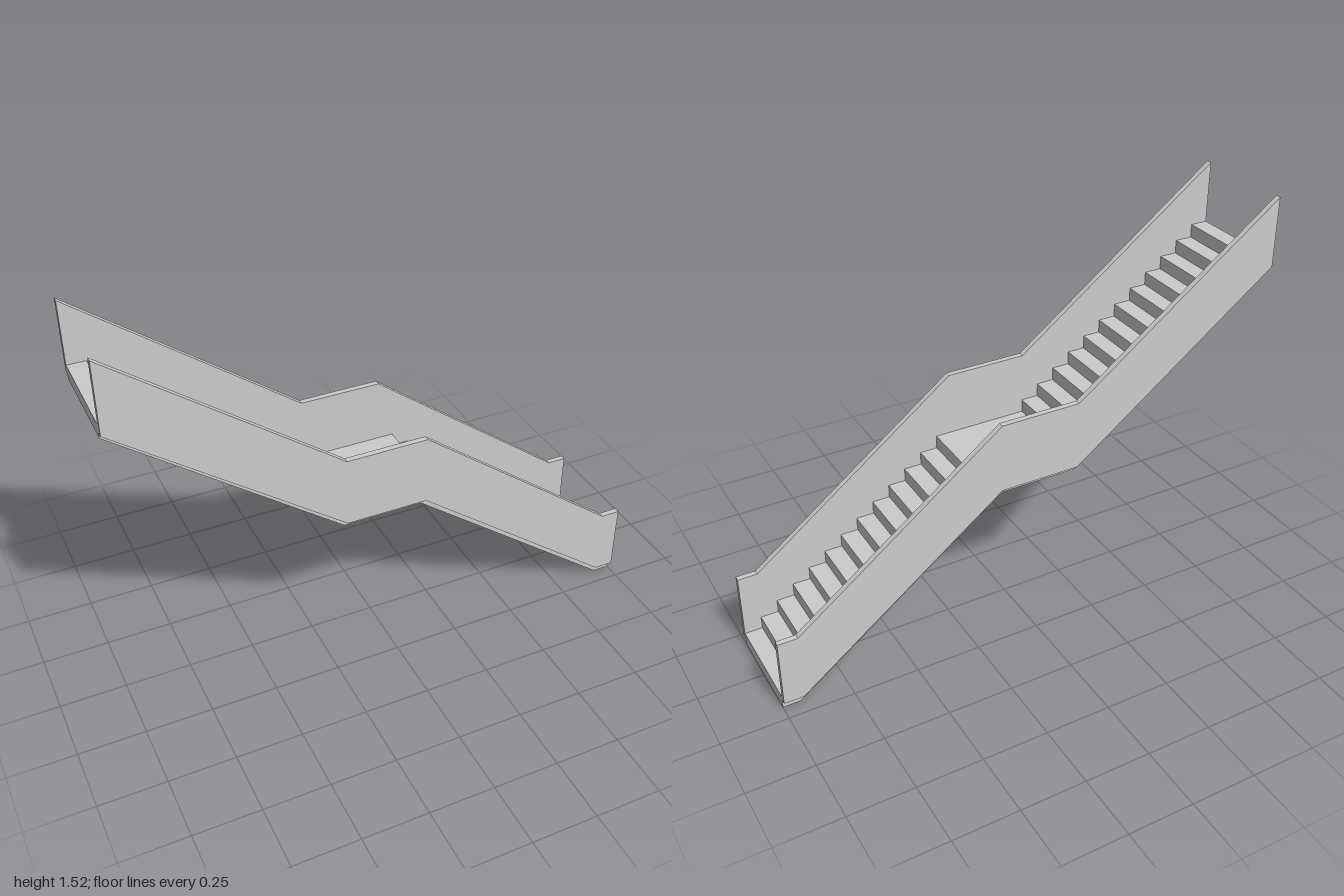
import * as THREE from 'three';

const material = new THREE.MeshStandardMaterial({ color: 0xcccccc, flatShading: true });
const RISE = 1.287 / 25, TREAD = 0.068, HALF_WIDTH = 0.19, PANEL = 0.022;

// Extrude an x/y outline from z0 over the given depth
function slab(name, points, z0, depth) {
  const shape = new THREE.Shape(points.map(([x, y]) => new THREE.Vector2(x, y)));
  const geometry = new THREE.ExtrudeGeometry(shape, { depth, bevelEnabled: false });
  geometry.translate(0, 0, z0);
  const mesh = new THREE.Mesh(geometry, material);
  mesh.name = name;
  return mesh;
}

export function createModel() {
  const group = new THREE.Group();
  group.name = 'staircase';

  // Stepped body: sloping underside, then two flights with a landing between
  const outline = [[-1, 1.236], [-0.19, 0.622], [0.115, 0.622], [0.935, 0]];
  const lower = 13, upper = 12;
  let x = 1, y = 0;
  outline.push([x, y]);
  for (let i = 1; i <= lower + upper; i++) {
    y += RISE;
    outline.push([x, y]);
    x = i === lower ? -1 + upper * TREAD : x - TREAD; // long tread is the landing
    outline.push([x, y]);
  }
  group.add(slab('stepsAndLanding', outline, -HALF_WIDTH, 2 * HALF_WIDTH));

  // Solid balustrade panels following the flights on both sides
  const rail = [[-1, 1.256], [-0.185, 0.645], [0.125, 0.645], [0.925, 0.036], [1, 0.036]];
  const height = 0.268;
  const panel = [...rail, ...rail.map(([px, py]) => [px, py + height]).reverse()];
  group.add(slab('leftSidePanel', panel, HALF_WIDTH, PANEL));
  group.add(slab('rightSidePanel', panel, -HALF_WIDTH - PANEL, PANEL));
  group.children[1].name = 'frontSidePanel';
  group.children[2].name = 'backSidePanel';

  return group;
}
